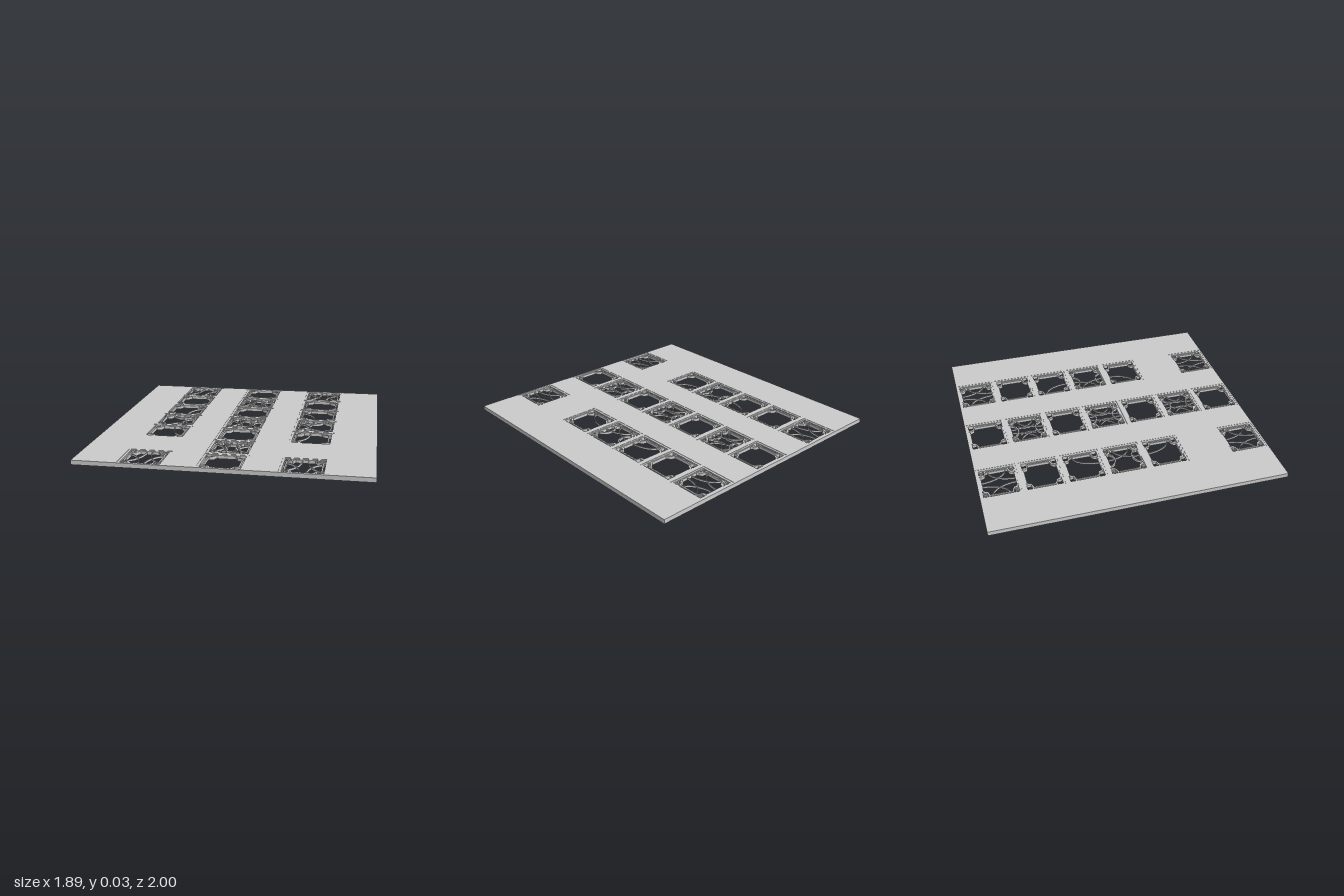
import * as THREE from 'three';
import { mergeGeometries } from 'three/addons/utils/BufferGeometryUtils.js';

const COL = 0.505, ROW = 2 / 7;        // spacing of the window grid
const HW = 0.145, HD = 0.131;          // half size of a window opening
const THICK = 0.03;

const grey = new THREE.MeshStandardMaterial({ color: 0xcccccc, flatShading: true });

const rect = (w, d, x = 0, z = 0, Type = THREE.Path) =>
  new Type([[-w, -d], [w, -d], [w, d], [-w, d]].map(([a, b]) => new THREE.Vector2(x + a, z + b)));

// Extrudes a plan shape (x, z) between two heights
function slab(shape, y0, y1) {
  const g = new THREE.ExtrudeGeometry(shape, { depth: y1 - y0, bevelEnabled: false });
  return g.rotateX(Math.PI / 2).translate(0, y1, 0);
}

// Offsets a polyline sideways by d in plan
function offset(pts, d, closed) {
  const n = pts.length;
  return pts.map((p, i) => {
    const a = closed ? pts[(i + n - 1) % n] : pts[Math.max(i - 1, 0)];
    const b = closed ? pts[(i + 1) % n] : pts[Math.min(i + 1, n - 1)];
    const t = b.clone().sub(a).normalize();
    return new THREE.Vector2(p.x - t.y * d, p.y + t.x * d);
  });
}

// Open strip of constant width following plan points
function strip(pts, width, y0, y1) {
  const l = offset(pts, width / 2), r = offset(pts, -width / 2).reverse();
  return slab(new THREE.Shape([...l, ...r]), y0, y1);
}

// Points on an ellipse arc
function arc(cx, cz, rx, rz, a0, a1, n = 14) {
  return Array.from({ length: n + 1 }, (_, i) => {
    const a = a0 + (a1 - a0) * i / n;
    return new THREE.Vector2(cx + rx * Math.cos(a), cz + rz * Math.sin(a));
  });
}

// Inner ring with notched, rounded corners
function notchedRing() {
  const corner = [[0.115, 0.066], [0.111, 0.077], [0.1, 0.081], [0.085, 0.085],
    [0.077, 0.093], [0.073, 0.106], [0.062, 0.115]];
  const pts = [];
  for (const [sx, sz] of [[1, 1], [-1, 1], [-1, -1], [1, -1]]) {
    const c = corner.map(([x, z]) => new THREE.Vector2(x * sx, z * sz));
    pts.push(...(sx * sz > 0 ? c : c.reverse()));
  }
  const shape = new THREE.Shape(offset(pts, -0.005, true));
  shape.holes.push(new THREE.Path(offset(pts, 0.005, true)));
  return slab(shape, 0.004, 0.026);
}

// Border, notched ring and the stubs that tie them together
function baseLattice() {
  const border = rect(HW, HD, 0, 0, THREE.Shape);
  border.holes.push(rect(HW - 0.016, HD - 0.013));
  const parts = [slab(border, 0.002, 0.028), notchedRing()];
  for (const sx of [1, -1]) for (const sz of [1, -1]) {
    parts.push(slab(rect(0.004, 0.017, sx * 0.083, sz * 0.104, THREE.Shape), 0.004, 0.026));
    parts.push(slab(rect(0.016, 0.004, sx * 0.118, sz * 0.078, THREE.Shape), 0.004, 0.026));
  }
  return parts;
}

// Large sweeping curve that fills one corner of a window
const sweep = (sx, sz) =>
  strip(arc(0.125 * sx, 0.122 * sz, -0.107 * sx, -0.182 * sz, 0, Math.PI / 2), 0.004, 0.008, 0.022);

// Small bowl hanging from the front or back edge
const bowl = (x, sz) =>
  strip(arc(x, 0.116 * sz, 0.066, -0.054 * sz, 0, Math.PI), 0.009, 0.006, 0.024);

// Corner ornament: a quarter curve with a diagonal bar
function cornerOrnament(sx, sz) {
  const diagonal = [[0.077, 0.085], [0.13, 0.118]].map(([x, z]) => new THREE.Vector2(x * sx, z * sz));
  return [strip(arc(0.13 * sx, 0.119 * sz, -0.036 * sx, -0.03 * sz, 0, Math.PI / 2, 6), 0.006, 0.006, 0.024),
    strip(diagonal, 0.006, 0.006, 0.024)];
}

function windowParts(c, r) {
  const parts = baseLattice();
  const ends = Math.abs(r) === 3 && c !== 0;
  const ornate = c === 0 && r % 2 === 0;
  const half = c !== 0 && r === 0;
  const single = c !== 0 && Math.abs(r) === 1;
  for (const sx of [1, -1]) for (const sz of [1, -1]) {
    const inward = sx === -c;
    if (ends || ornate || (half && inward) || (single && inward && sz === -r)) parts.push(sweep(sx, sz));
    if (ends || ornate || half) parts.push(...cornerOrnament(sx, sz));
  }
  if (ornate || half) for (const sz of [1, -1]) parts.push(bowl(half ? -c * 0.02 : 0, sz));
  if (ornate) {
    // Small star of crossing bars in the middle
    for (const s of [1, -1]) {
      parts.push(strip(arc(0.075 * s, 0, -0.05 * s, 0.062, -1.2, 1.2), 0.004, 0.008, 0.022));
    }
  }
  return parts;
}

export function createModel() {
  const model = new THREE.Group();
  model.name = 'latticePanel';

  const plate = rect(0.945, 1, 0, 0, THREE.Shape);
  for (const c of [-1, 0, 1]) {
    for (let r = -3; r <= 3; r++) {
      if (r === 2 && c !== 0) continue; // solid fields
      const x = c * COL, z = r * ROW;
      plate.holes.push(rect(HW, HD, x, z));
      const lattice = new THREE.Mesh(mergeGeometries(windowParts(c, r)), grey);
      lattice.name = 'windowLattice';
      lattice.position.set(x, 0, z);
      model.add(lattice);
    }
  }
  const panel = new THREE.Mesh(slab(plate, 0, THICK), grey);
  panel.name = 'panel';
  model.add(panel);
  return model;
}
